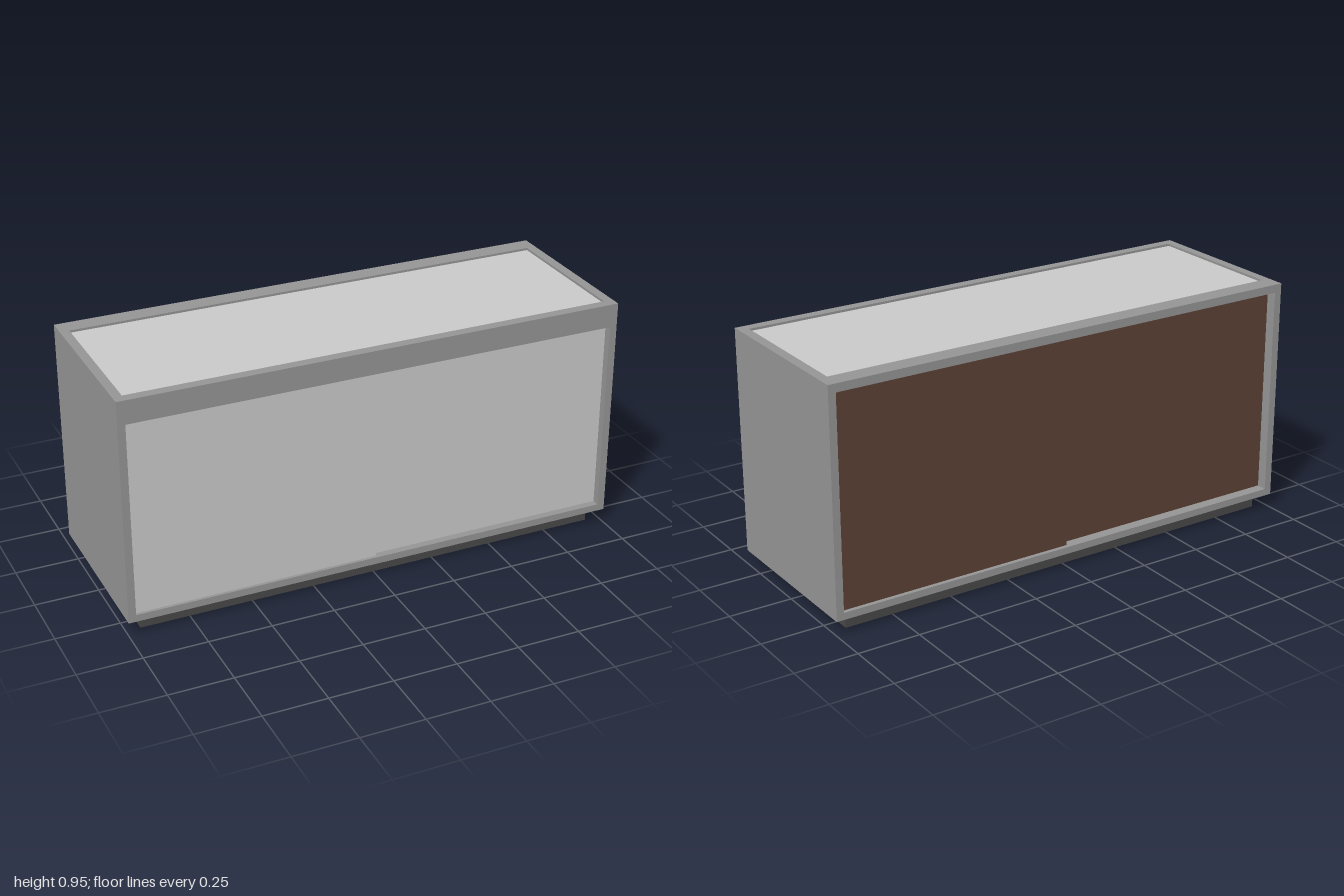
import * as THREE from 'three';

const carcassGrey = new THREE.MeshStandardMaterial({ color: 0x959595 });
carcassGrey.name = 'carcass grey';
const panelLight = new THREE.MeshStandardMaterial({ color: 0xc9c9c9 });
panelLight.name = 'panel light grey';
const plinthDark = new THREE.MeshStandardMaterial({ color: 0x484848 });
plinthDark.name = 'plinth dark grey';
const backBrown = new THREE.MeshStandardMaterial({ color: 0x5c4236 });
backBrown.name = 'back brown';

// Box given by its minimum and maximum corners
function slab(name, material, [x0, y0, z0], [x1, y1, z1]) {
  const mesh = new THREE.Mesh(new THREE.BoxGeometry(x1 - x0, y1 - y0, z1 - z0), material);
  mesh.position.set((x0 + x1) / 2, (y0 + y1) / 2, (z0 + z1) / 2);
  mesh.name = name;
  return mesh;
}

export function createModel() {
  const cabinet = new THREE.Group();
  cabinet.name = 'cabinet';
  const W = 0.97, D = 0.352, BOTTOM = 0.058, TOP = 0.953;

  // Recessed plinth
  cabinet.add(slab('plinth', plinthDark, [-0.943, 0, -0.31], [0.943, BOTTOM, 0.31]));

  // Carcass: sides, floor and front apron
  cabinet.add(
    slab('rightSide', carcassGrey, [-1, BOTTOM, -D], [-W, TOP, D]),
    slab('leftSide', carcassGrey, [W, BOTTOM, -D], [1, TOP, D]),
    slab('floor', carcassGrey, [-W, BOTTOM, -D], [W, 0.086, D]),
    slab('frontApron', carcassGrey, [-W, 0.86, 0.3], [W, 0.92, D]),
  );

  // Top frame with an opening for the inset panel
  const outline = new THREE.Shape([
    [-W, -D], [W, -D], [W, D], [-W, D],
  ].map(p => new THREE.Vector2(...p)));
  outline.holes.push(new THREE.Path([
    [-0.964, -0.312], [-0.964, 0.278], [0.962, 0.278], [0.962, -0.312],
  ].map(p => new THREE.Vector2(...p))));
  const frameGeometry = new THREE.ExtrudeGeometry(outline, { depth: TOP - 0.92, bevelEnabled: false });
  frameGeometry.rotateX(-Math.PI / 2).translate(0, 0.92, 0);
  const topFrame = new THREE.Mesh(frameGeometry, carcassGrey);
  topFrame.name = 'topFrame';
  cabinet.add(topFrame);
  cabinet.add(slab('topPanel', panelLight, [-0.964, 0.922, -0.278], [0.962, 0.944, 0.312]));

  // Sliding front doors, one running behind the other
  cabinet.add(
    slab('frontDoorRight', panelLight, [-0.968, 0.088, 0.325], [-0.005, 0.857, 0.343]),
    slab('frontDoorLeft', panelLight, [-0.03, 0.088, 0.305], [0.968, 0.857, 0.325]),
  );

  // Back panels, set at two depths
  cabinet.add(
    slab('backPanelLeft', backBrown, [0, 0.088, -0.338], [0.968, 0.918, -0.312]),
    slab('backPanelRight', backBrown, [-0.968, 0.088, -0.312], [0.03, 0.918, -0.29]),
  );

  return cabinet;
}
